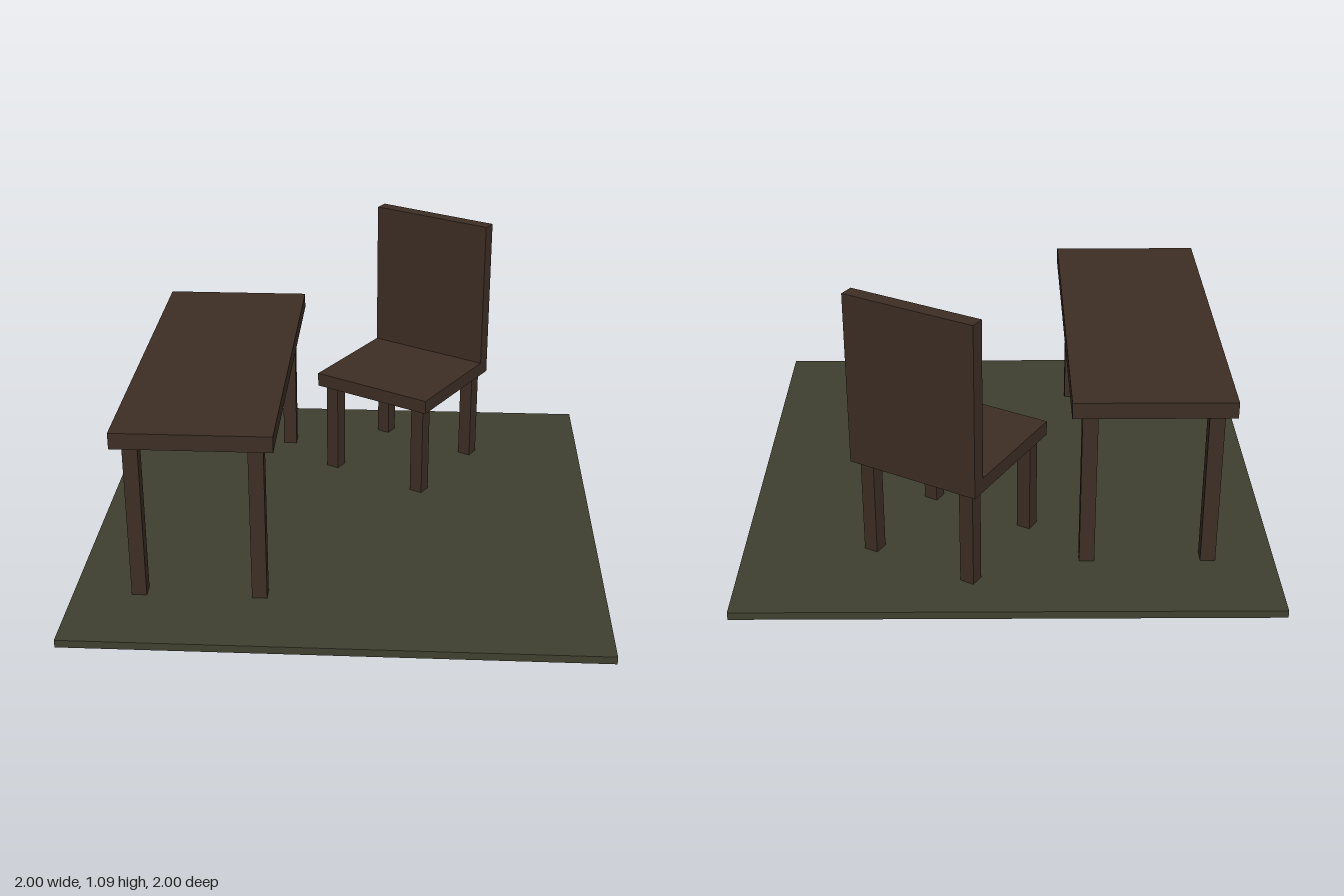
import * as THREE from 'three';

const wood = new THREE.MeshStandardMaterial({ color: 0x3d2e25 });
const rug = new THREE.MeshStandardMaterial({ color: 0x404030 });

// Box with its underside at height y
function box(parent, name, w, h, d, x, y, z, material = wood) {
  const mesh = new THREE.Mesh(new THREE.BoxGeometry(w, h, d), material);
  mesh.name = name;
  mesh.position.set(x, y + h / 2, z);
  parent.add(mesh);
}

// Four square legs, mirrored about the centre
function legs(parent, name, size, y, top, dx, dz) {
  for (const sx of [-1, 1])
    for (const sz of [-1, 1])
      box(parent, name, size, top - y, size, sx * dx, y, sz * dz);
}

export function createModel() {
  const model = new THREE.Group();
  model.name = 'tableAndChair';
  const floorTop = 0.03;
  box(model, 'floor', 2, floorTop, 2, 0, 0, 0, rug);

  // Long table
  const table = new THREE.Group();
  table.name = 'table';
  table.position.x = -0.523;
  box(table, 'tableTop', 0.59, 0.063, 1.44, 0, 0.657, 0);
  legs(table, 'tableLeg', 0.057, floorTop, 0.657, 0.227, 0.656);
  model.add(table);

  // Chair turned towards the table
  const chair = new THREE.Group();
  chair.name = 'chair';
  chair.position.set(0.214, 0, -0.505);
  chair.rotation.y = -Math.PI / 6;
  const seat = 0.533, seatBottom = 0.418, seatTop = 0.475, backDepth = 0.057;
  box(chair, 'seat', seat, seatTop - seatBottom, seat, 0, seatBottom, 0);
  box(chair, 'backrest', seat, 1.093 - seatTop, backDepth, 0, seatTop, (backDepth - seat) / 2);
  legs(chair, 'chairLeg', 0.056, floorTop, seatBottom, 0.212, 0.212);
  model.add(chair);

  return model;
}
